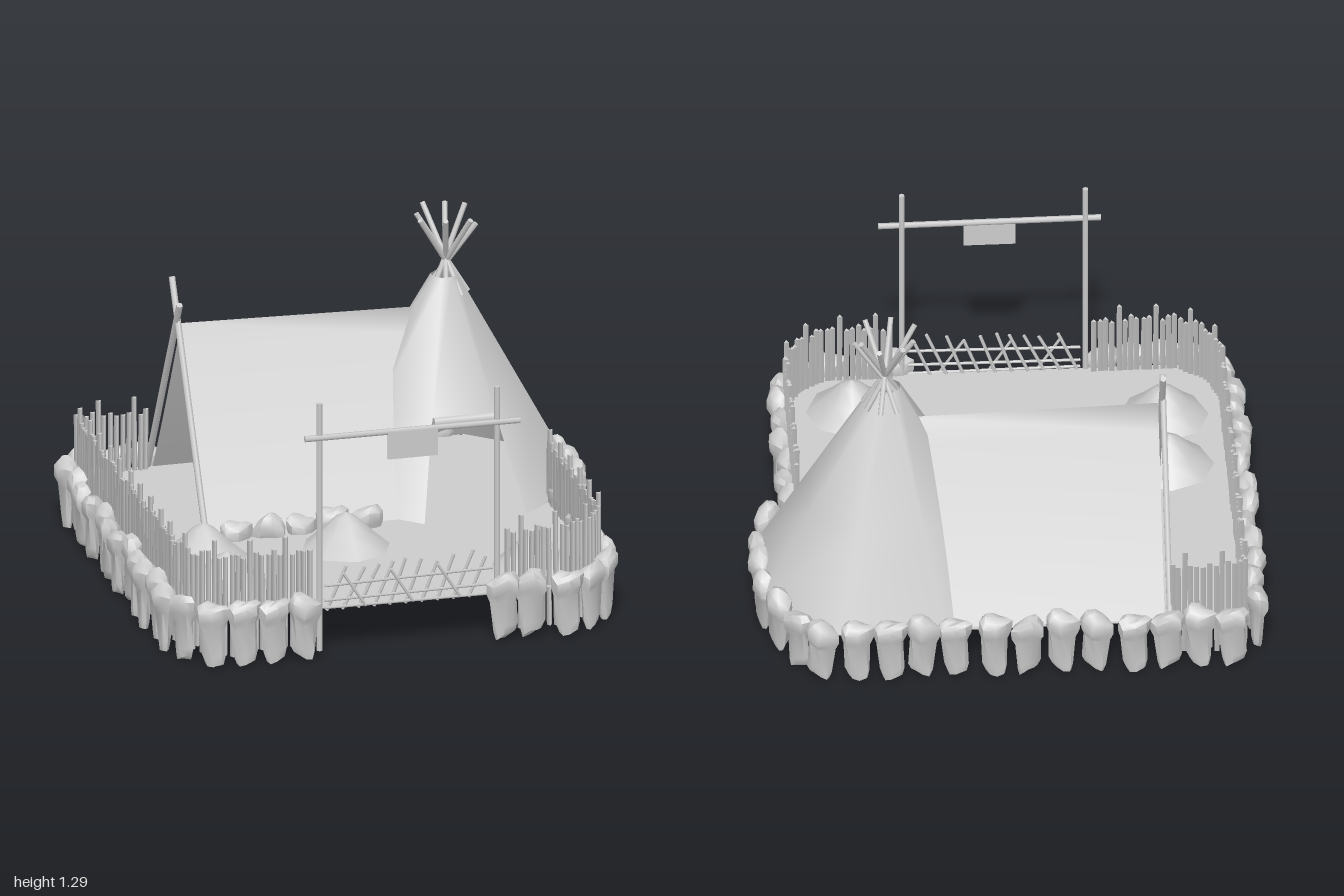
import * as THREE from 'three';
import { toCreasedNormals } from 'three/addons/utils/BufferGeometryUtils.js';

const GROUND = 0.2;

export function createModel() {
  const model = new THREE.Group();
  const mat = new THREE.MeshStandardMaterial({ color: 0xcccccc });
  const thin = new THREE.MeshStandardMaterial({ color: 0xcccccc, side: THREE.DoubleSide });

  let seed = 7;
  const rand = (a, b) => {
    seed = (seed * 16807) % 2147483647;
    return a + (b - a) * seed / 2147483647;
  };
  const add = (parent, name, geometry, material, x = 0, y = 0, z = 0) => {
    const mesh = new THREE.Mesh(geometry, material);
    mesh.name = name;
    mesh.position.set(x, y, z);
    parent.add(mesh);
    return mesh;
  };
  const group = (name) => {
    const g = new THREE.Group();
    g.name = name;
    model.add(g);
    return g;
  };
  // Straight pole between two points
  const pole = (parent, name, a, b, r, sides = 6) => {
    const from = new THREE.Vector3(...a), to = new THREE.Vector3(...b);
    const dir = to.clone().sub(from);
    const mesh = add(parent, name, new THREE.CylinderGeometry(r, r, dir.length(), sides), mat);
    mesh.position.copy(from).add(to).multiplyScalar(0.5);
    mesh.quaternion.setFromUnitVectors(new THREE.Vector3(0, 1, 0), dir.normalize());
  };

  // Ground sheet with clipped corners and a bulge below the cone tent
  const outline = [[-0.9, -0.85], [0.7, -0.87], [0.85, -0.75], [0.95, -0.58], [0.95, -0.25], [0.8, -0.04],
    [0.8, 0.68], [0.63, 0.85], [-0.73, 0.85], [-0.85, 0.76], [-0.9, 0.62]];
  const groundShape = new THREE.Shape(outline.map(([x, z]) => new THREE.Vector2(x, -z)));
  const ground = add(model, 'ground', new THREE.ShapeGeometry(groundShape), thin, 0, GROUND, 0);
  ground.rotation.x = -Math.PI / 2;

  // Border stones: wide rounded heads on flatter, ragged stems
  const stones = group('borderStones');
  const profile = [[0, 0.035], [0.036, 0.03], [0.046, 0.06], [0.05, 0.18], [0.062, 0.21], [0.063, 0.25], [0.042, 0.275], [0, 0.288]]
    .map(([r, y]) => new THREE.Vector2(r, y));
  const stone = (x, z, angle) => {
    const g = new THREE.LatheGeometry(profile, 8);
    const p = g.attributes.position, s = rand(0, 6), depth = rand(0.62, 0.74), h = rand(0.94, 1.03);
    for (let i = 0; i < p.count; i++) {
      const px = p.getX(i), py = p.getY(i), pz = p.getZ(i);
      const flatten = py < 0.19 ? 0.75 : 1;
      p.setXYZ(i,
        px * 1.04 + 0.006 * Math.sin(45 * pz + 20 * py + s),
        py * h + 0.016 * Math.sin(40 * px + 25 * pz + s),
        pz * depth * flatten + 0.004 * Math.sin(50 * px + 15 * py + s));
    }
    const mesh = add(stones, 'stone', toCreasedNormals(g, 0.75), mat, x, 0, z);
    mesh.rotation.y = angle + rand(-0.2, 0.2);
  };
  const stoneRow = (points) => points.forEach(([x, z], i) => {
    const a = points[Math.max(i - 1, 0)], b = points[Math.min(i + 1, points.length - 1)];
    stone(x, z, Math.atan2(-(b[1] - a[1]), b[0] - a[0]));
  });
  const border = [[-0.45, 0.88], [-0.57, 0.89], [-0.69, 0.89], [-0.81, 0.87], [-0.9, 0.77]];
  for (let i = 0; i < 12; i++) border.push([-0.94 + 0.012 * Math.sin(i * 2), 0.63 - i * 0.128]);
  stoneRow(border);
  const backXs = [-0.84, -0.71, -0.59, -0.46, -0.31, -0.18, -0.05, 0.08, 0.23, 0.36, 0.48, 0.61, 0.75];
  stoneRow([...backXs.map((x, i) => [x, -0.895 + 0.012 * Math.sin(i * 1.7)]),
    [0.83, -0.8], [0.9, -0.68], [0.95, -0.54], [0.955, -0.41], [0.955, -0.27], [0.91, -0.12], [0.82, -0.01],
    [0.83, 0.12], [0.81, 0.25], [0.83, 0.38], [0.82, 0.51], [0.82, 0.64], [0.79, 0.75], [0.71, 0.84],
    [0.6, 0.89], [0.46, 0.88], [0.35, 0.88]]);
  stoneRow([[-0.48, 0.01], [-0.35, 0.01], [-0.22, 0], [-0.09, -0.01], [0.04, 0.02]]);

  // Fence of three-sided sticks following the edge of the yard
  const fence = group('stickFence');
  const stickGeo = new THREE.CylinderGeometry(0.012, 0.012, 1, 3);
  const fenceRun = (points) => {
    const path = new THREE.CurvePath();
    const v = points.map(([x, z]) => new THREE.Vector3(x, 0, z));
    for (let i = 1; i < v.length; i++) path.add(new THREE.LineCurve3(v[i - 1], v[i]));
    const n = Math.round(path.getLength() / 0.024);
    for (let i = 0; i <= n; i++) {
      const p = path.getPointAt(i / n);
      const top = i % 6 === 2 ? 0.5 : rand(0.425, 0.455), bottom = rand(0.03, 0.06);
      const stick = add(fence, 'fenceStick', stickGeo, mat,
        p.x + rand(-0.003, 0.003), (top + bottom) / 2, p.z + rand(-0.003, 0.003));
      stick.scale.y = top - bottom;
      stick.rotation.set(rand(-0.01, 0.01), 0, rand(-0.01, 0.01));
    }
  };
  fenceRun([[-0.61, -0.82], [-0.89, -0.82], [-0.89, 0.62], [-0.84, 0.75], [-0.73, 0.83], [-0.41, 0.83]]);
  fenceRun([[0.38, 0.83], [0.62, 0.83], [0.73, 0.77], [0.79, 0.67], [0.79, -0.07]]);

  // Gateway with crossbeam, hanging board and low lattice
  const gate = group('gateway');
  for (const x of [-0.38, 0.33]) pole(gate, 'gatePost', [x, 0.03, 0.85], [x, 1.045, 0.85], 0.012);
  pole(gate, 'gateBeam', [-0.44, 0.905, 0.855], [0.42, 0.9, 0.855], 0.012);
  add(gate, 'hangingBoard', new THREE.BoxGeometry(0.2, 0.11, 0.01), mat, -0.01, 0.848, 0.862);
  for (const [y0, y1] of [[0.205, 0.2], [0.235, 0.24], [0.295, 0.305]])
    pole(gate, 'gateRail', [-0.36, y0, 0.855], [0.31, y1, 0.855], 0.006, 5);
  for (let i = 0; i < 10; i++) {
    const x = -0.35 + i * 0.063;
    pole(gate, 'slantedStick', [x, 0.19, 0.845], [x + rand(0.06, 0.09), rand(0.35, 0.39), 0.85], 0.007, 5);
    if (i % 3 === 1) pole(gate, 'crossStick', [x + 0.09, 0.2, 0.86], [x, 0.34, 0.86], 0.006, 5);
  }

  // Eight-sided cone tent, a little wider than deep, open in front below the rolled door
  const tent = group('coneTent');
  const cx = 0.465, cz = -0.41, apexY = 1.045, doorY = 0.55, rBase = 0.5, rTop = 0.05;
  const rDoor = rBase + (rTop - rBase) * (doorY - GROUND) / (apexY - GROUND);
  const upper = new THREE.CylinderGeometry(rTop, rDoor, apexY - doorY, 8, 1, true, Math.PI / 8);
  const lower = new THREE.CylinderGeometry(rDoor, rBase, doorY - GROUND, 7, 1, true, Math.PI / 8, Math.PI * 7 / 4);
  add(tent, 'upperCover', upper.scale(1.07, 1, 1), thin, cx, (apexY + doorY) / 2, cz);
  add(tent, 'lowerCover', lower.scale(1.07, 1, 1), thin, cx, (doorY + GROUND) / 2, cz);
  pole(tent, 'rolledDoor', [0.34, 0.553, -0.105], [0.58, 0.553, -0.105], 0.02, 8);
  // Poles cross just above the cover and fan out
  for (let i = 0; i < 8; i++) {
    const a = i * Math.PI / 4 + 0.25, c = Math.cos(a), s = Math.sin(a), r = rand(0.105, 0.14);
    pole(tent, 'tentPole', [cx + 0.01 - c * 0.085, 0.97, cz - 0.01 - s * 0.085],
      [cx + 0.01 + c * r, rand(1.24, 1.3), cz - 0.02 + s * r], 0.011);
  }

  // Ridge tent: slightly sagging slopes from the open left end into the cone tent
  const ridge = group('ridgeTent');
  const rows = 16, pos = [], idx = [];
  for (let i = 0; i <= rows; i++) {
    const t = i / rows * 2 - 1, up = 1 - Math.abs(t);
    const rise = up - 0.02 * Math.sin(Math.PI * up);
    const z = -0.435 - t * 0.41;
    pos.push(-0.58, GROUND + rise * 0.735, z);
    pos.push((t > 0 ? 0.3 : 0.22) + (t > 0 ? 0.11 : 0.19) * up, GROUND + rise * 0.71, z);
    if (i < rows) idx.push(2 * i, 2 * i + 1, 2 * i + 2, 2 * i + 1, 2 * i + 3, 2 * i + 2);
  }
  const cover = new THREE.BufferGeometry();
  cover.setAttribute('position', new THREE.Float32BufferAttribute(pos, 3));
  cover.setIndex(idx);
  cover.computeVertexNormals();
  add(ridge, 'ridgeCover', cover, thin);
  pole(ridge, 'framePole', [-0.595, 0.2, -0.01], [-0.595, 1.1, -0.51], 0.013);
  pole(ridge, 'framePole', [-0.6, 0.2, -0.85], [-0.6, 1.03, -0.38], 0.013);

  // Low eight-sided mounds in the yard
  const mounds = group('mounds');
  const moundProfile = [[0.175, 0], [0.1, 0.065], [0.04, 0.125], [0, 0.145]].map(([r, y]) => new THREE.Vector2(r, y));
  const moundGeo = new THREE.LatheGeometry(moundProfile, 8);
  for (const [x, z] of [[-0.66, 0.185], [-0.66, 0.515], [-0.1, 0.215], [0.54, 0.62]])
    add(mounds, 'mound', moundGeo, thin, x, GROUND, z);

  return model;
}
